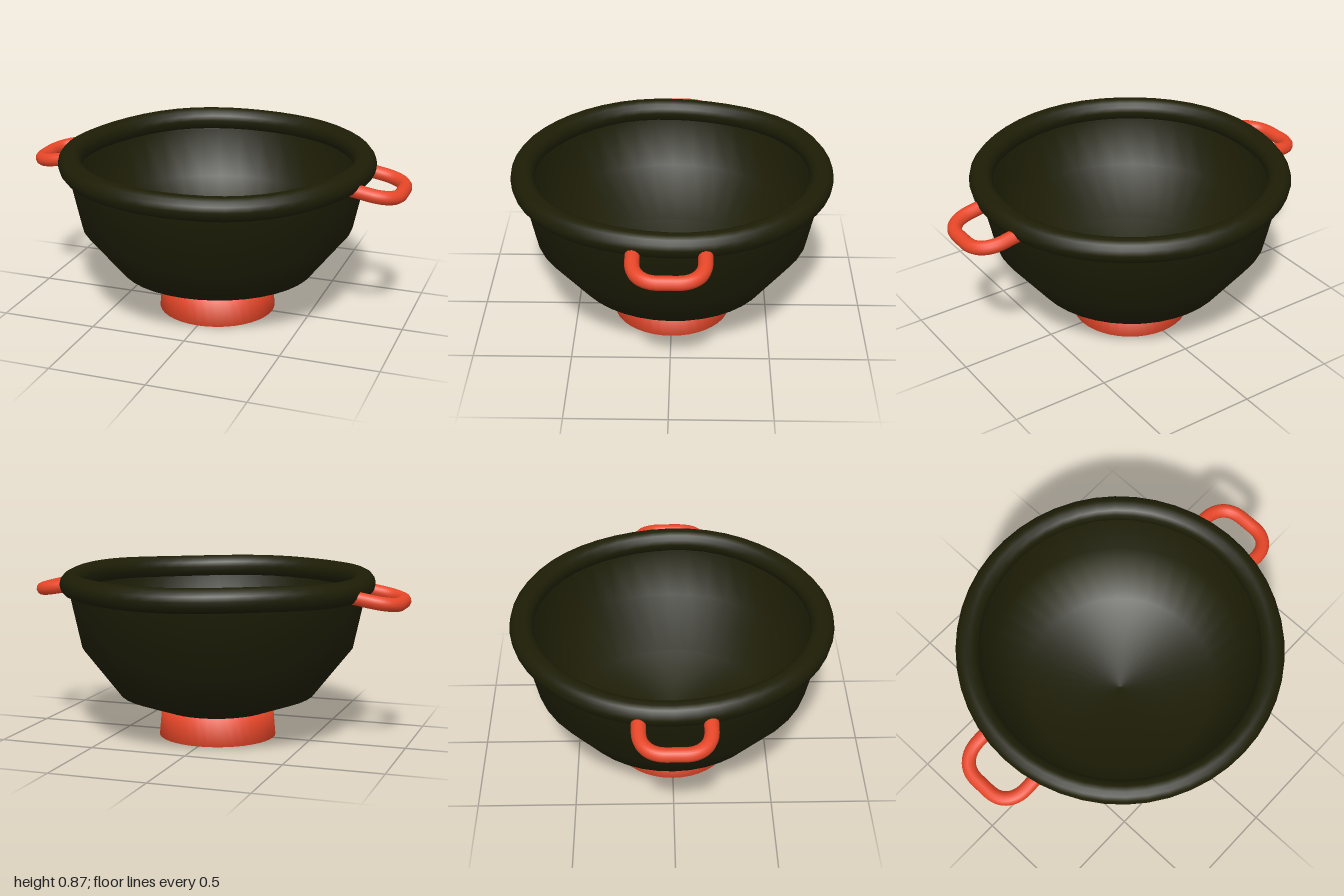
import * as THREE from 'three';

const SEGMENTS = 40;

function material(name, color) {
  const m = new THREE.MeshStandardMaterial({ color });
  m.name = name;
  return m;
}

function lathe(points) {
  return new THREE.LatheGeometry(points.map(([r, y]) => new THREE.Vector2(r, y)), SEGMENTS);
}

// Move every vertex up or down by a rule
function shiftY(geometry, rule) {
  const p = geometry.attributes.position;
  for (let i = 0; i < p.count; i++) {
    p.setY(i, p.getY(i) + rule(p.getX(i), p.getY(i), p.getZ(i)));
  }
}

export function createModel() {
  const model = new THREE.Group();
  model.name = 'bowl';
  const olive = material('dark olive', 0x1d1d06);
  const red = material('warm red', 0xf54b2b);
  const grey = material('pale stone', 0xd6d0bc);

  function add(name, geometry, mat) {
    const mesh = new THREE.Mesh(geometry, mat);
    mesh.name = name;
    model.add(mesh);
    return mesh;
  }

  // Bowl: outer wall upwards, then inner wall down to a shallow conical floor
  const body = lathe([
    [0, 0.15], [0.29, 0.148], [0.51, 0.23], [0.703, 0.475], [0.764, 0.76], [0.767, 0.81],
    [0.745, 0.81], [0.735, 0.75], [0.684, 0.485], [0.492, 0.248], [0, 0.162],
  ]);
  // The lower part leans slightly, like hand-made pottery
  shiftY(body, (x, y, z) => (y < 0.3 ? 0.016 * z : 0));
  add('bowlBody', body, olive);

  // Thick rolled rim, slightly uneven
  const rim = new THREE.TorusGeometry(0.754, 0.06, 14, 48);
  rim.rotateX(-Math.PI / 2);
  rim.scale(0.998, 1, 1.004);
  shiftY(rim, (x, y, z) => {
    const a = Math.atan2(z, x);
    return 0.004 * Math.sin(3 * a + 1) + 0.003 * Math.sin(5 * a);
  });
  rim.translate(0, 0.807, 0);
  add('rim', rim, olive);

  // Hollow foot ring with a wide inner ledge
  add('foot', lathe([
    [0.24, 0], [0.305, 0], [0.292, 0.152], [0.18, 0.15],
    [0.18, 0.13], [0.236, 0.128], [0.24, 0],
  ]), red);

  // Thin dark seams on both edges of the ledge
  for (const [inner, outer] of [[0.18, 0.186], [0.227, 0.235]]) {
    const seam = new THREE.RingGeometry(inner, outer, SEGMENTS);
    seam.rotateX(Math.PI / 2);
    seam.translate(0, 0.1265, 0);
    add('footSeam', seam, olive);
  }

  // Base plate inside the foot, with four dark drain holes
  const plate = new THREE.CylinderGeometry(0.182, 0.182, 0.006, SEGMENTS);
  plate.translate(0, 0.141, 0);
  add('basePlate', plate, grey);
  for (let i = 0; i < 4; i++) {
    const a = THREE.MathUtils.degToRad(70 + 90 * i);
    const hole = new THREE.CylinderGeometry(0.032, 0.032, 0.003, 18);
    hole.translate(0.138 * Math.cos(a), 0.137, 0.138 * Math.sin(a));
    add('drainHole', hole, olive);
  }

  // Looped handles, drooping a little outwards
  const point = (x, z) => new THREE.Vector3(x, 0.783 - (x - 0.72) * 0.18, z);
  const corner = [[0.83, 0.168], [0.91, 0.168], [0.965, 0.122], [0.965, 0.04]];
  const path = new THREE.CurvePath();
  path.add(new THREE.LineCurve3(point(0.72, 0.168), point(0.83, 0.168)));
  path.add(new THREE.CubicBezierCurve3(...corner.map(([x, z]) => point(x, z))));
  path.add(new THREE.LineCurve3(point(0.965, 0.04), point(0.965, -0.04)));
  path.add(new THREE.CubicBezierCurve3(...corner.map(([x, z]) => point(x, -z)).reverse()));
  path.add(new THREE.LineCurve3(point(0.83, -0.168), point(0.72, -0.168)));
  const handle = new THREE.TubeGeometry(path, 48, 0.035, 12, false);
  add('leftHandle', handle, red);
  add('rightHandle', handle, red).rotation.y = Math.PI;

  return model;
}
